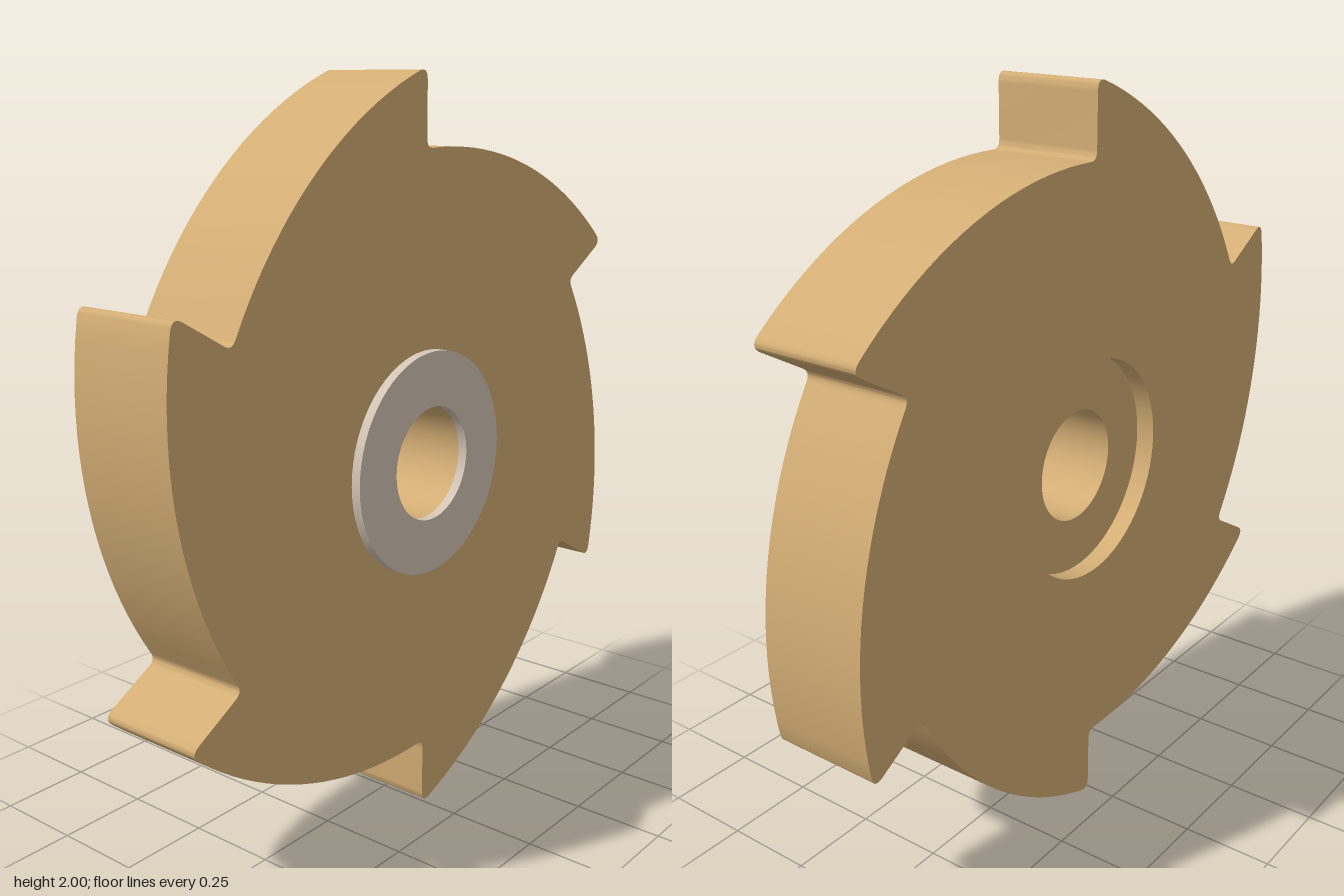
import * as THREE from 'three';
import { toCreasedNormals } from 'three/addons/utils/BufferGeometryUtils.js';

const TEETH = 6, TIP = 1.008, ROOT = 0.81;
const BORE = 0.153, HUB = 0.3;
const BACK = -0.163, FRONT = 0.137, RECESS = -0.11, WASHER = 0.163;

// Outline of one tooth, from the root at the top clockwise to the next tip
function toothPoints() {
  const cx = 0.07, cy = -0.389, r = 1.201;
  const tip = new THREE.Vector2(Math.cos(Math.PI / 6) * TIP, Math.sin(Math.PI / 6) * TIP);
  const root = new THREE.Vector2(0, ROOT);
  const onArc = a => new THREE.Vector2(cx + r * Math.cos(a), cy + r * Math.sin(a));
  const a0 = Math.atan2(root.y - cy, root.x - cx) - 0.025 / r;
  const a1 = Math.atan2(tip.y - cy, tip.x - cx) + 0.034 / r;
  const points = [];
  // rounded root corner
  points.push(...new THREE.QuadraticBezierCurve(
    new THREE.Vector2(0, ROOT + 0.025), root, onArc(a0)).getPoints(6));
  // curved back of the tooth
  const steps = 20;
  for (let i = 1; i < steps; i++) points.push(onArc(a0 + (a1 - a0) * i / steps));
  // rounded tip
  points.push(...new THREE.QuadraticBezierCurve(
    onArc(a1), tip, tip.clone().multiplyScalar(1 - 0.034 / TIP)).getPoints(7));
  return points;
}

// Turned ring whose axis runs along z; profile is [radius, z]
function turned(profile) {
  const g = new THREE.LatheGeometry(profile.map(p => new THREE.Vector2(...p)), 64);
  g.rotateX(Math.PI / 2);
  return toCreasedNormals(g, 0.6);
}

export function createModel() {
  const group = new THREE.Group();
  group.name = 'ratchetWheel';
  const tan = new THREE.MeshStandardMaterial({ color: 0xd4ae75 });
  tan.name = 'tan';
  const grey = new THREE.MeshStandardMaterial({ color: 0xd4c5b6 });
  grey.name = 'warmGrey';

  const add = (name, geometry, material) => {
    const mesh = new THREE.Mesh(geometry, material);
    mesh.name = name;
    mesh.position.y = 1;
    group.add(mesh);
  };

  // Toothed body, open in the middle for the hub
  const tooth = toothPoints();
  const outline = [];
  const origin = new THREE.Vector2();
  for (let i = 0; i < TEETH; i++) {
    for (const p of tooth) outline.push(p.clone().rotateAround(origin, -i * 2 * Math.PI / TEETH));
  }
  const shape = new THREE.Shape(outline);
  shape.holes.push(new THREE.Path().absarc(0, 0, HUB, 0, Math.PI * 2, false));
  const body = new THREE.ExtrudeGeometry(shape, {
    depth: FRONT - BACK, bevelEnabled: false, curveSegments: 32,
  });
  body.translate(0, 0, BACK);
  add('toothedBody', toCreasedNormals(body, 0.6), tan);

  // Hub web with the bore, set back behind to leave a shallow recess
  add('hubWeb', turned([[HUB, FRONT], [BORE, FRONT], [BORE, RECESS], [HUB, RECESS]]), tan);

  // Raised washer on the front
  add('frontWasher', turned([[HUB, FRONT], [HUB, WASHER], [BORE, WASHER], [BORE, FRONT]]), grey);

  return group;
}
